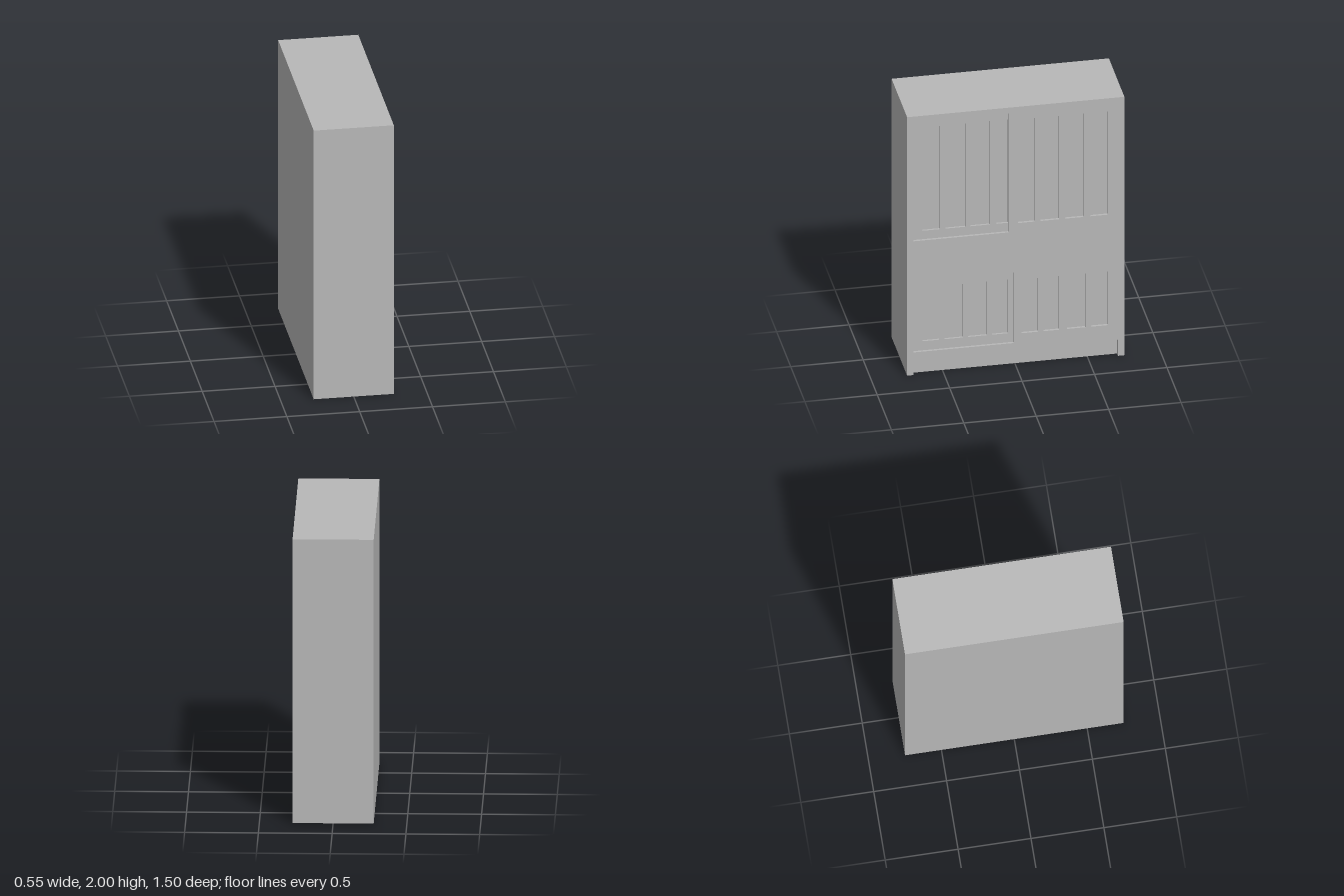
import * as THREE from 'three';

const HALF_X = 0.275, HALF_Z = 0.75, HEIGHT = 2;
const FACE = 0.018;   // thickness of the outer facing
const BACKING = 0.015; // thickness of the layer behind it

// Slot edges along z, from +z to -z
const upperLeft = [[0.64, 0.52], [0.48, 0.345], [0.31, 0.175], [0.13, 0.05]];
const upperRight = [[-0.015, -0.13], [-0.17, -0.3], [-0.34, -0.47], [-0.515, -0.635]];
const lowerLeft = [[0.64, 0.525], [0.49, 0.36], [0.325, 0.195], [0.16, 0.05]];
const lowerRight = [[-0.04, -0.155], [-0.19, -0.3], [-0.355, -0.48], [-0.52, -0.635]];

// Rectangles as [z start, z end, y bottom, y top]
const upperSlots = (list) => list.map(([a, b]) => [a, b, 1.1, 1.9]);
const lowerSlots = (list) => list.map(([a, b]) => [a, b, 0.245, 0.66]);

// Facing sheet with a toe-kick notch and rectangular openings
function sheet(name, openings, x, depth, material) {
  const shape = new THREE.Shape([
    [-HALF_Z, 0], [-0.705, 0], [-0.705, 0.125], [0.705, 0.125],
    [0.705, 0], [HALF_Z, 0], [HALF_Z, HEIGHT], [-HALF_Z, HEIGHT],
  ].map(([s, y]) => new THREE.Vector2(s, y)));
  for (const [z0, z1, y0, y1] of openings) {
    shape.holes.push(new THREE.Path([
      new THREE.Vector2(-z0, y0), new THREE.Vector2(-z0, y1),
      new THREE.Vector2(-z1, y1), new THREE.Vector2(-z1, y0),
    ]));
  }
  const geometry = new THREE.ExtrudeGeometry(shape, { depth, bevelEnabled: false });
  geometry.rotateY(Math.PI / 2);
  const mesh = new THREE.Mesh(geometry, material);
  mesh.name = name;
  mesh.position.x = x;
  return mesh;
}

export function createModel() {
  const group = new THREE.Group();
  group.name = 'cabinet';
  const grey = new THREE.MeshStandardMaterial({ color: 0xb8b8b8 });
  grey.name = 'plain grey';

  // Solid body behind the panelled side
  const width = HALF_X * 2 - FACE - BACKING;
  const body = new THREE.Mesh(new THREE.BoxGeometry(width, HEIGHT, HALF_Z * 2), grey);
  body.name = 'cabinetBody';
  body.position.set(-HALF_X + width / 2, HEIGHT / 2, 0);
  group.add(body);

  // Inner layer: slots at the bottom of the two large recesses
  group.add(sheet('recessBacking', [...upperSlots(upperLeft), ...lowerSlots(lowerLeft)],
    HALF_X - FACE - BACKING, BACKING, grey));

  // Outer layer: two large recesses and the remaining slots
  group.add(sheet('panelledFacing', [
    [0.705, 0.05, 1.035, 1.955],
    [0.705, 0.015, 0.175, 0.72],
    ...upperSlots(upperRight), ...lowerSlots(lowerRight),
  ], HALF_X - FACE, FACE, grey));

  return group;
}
